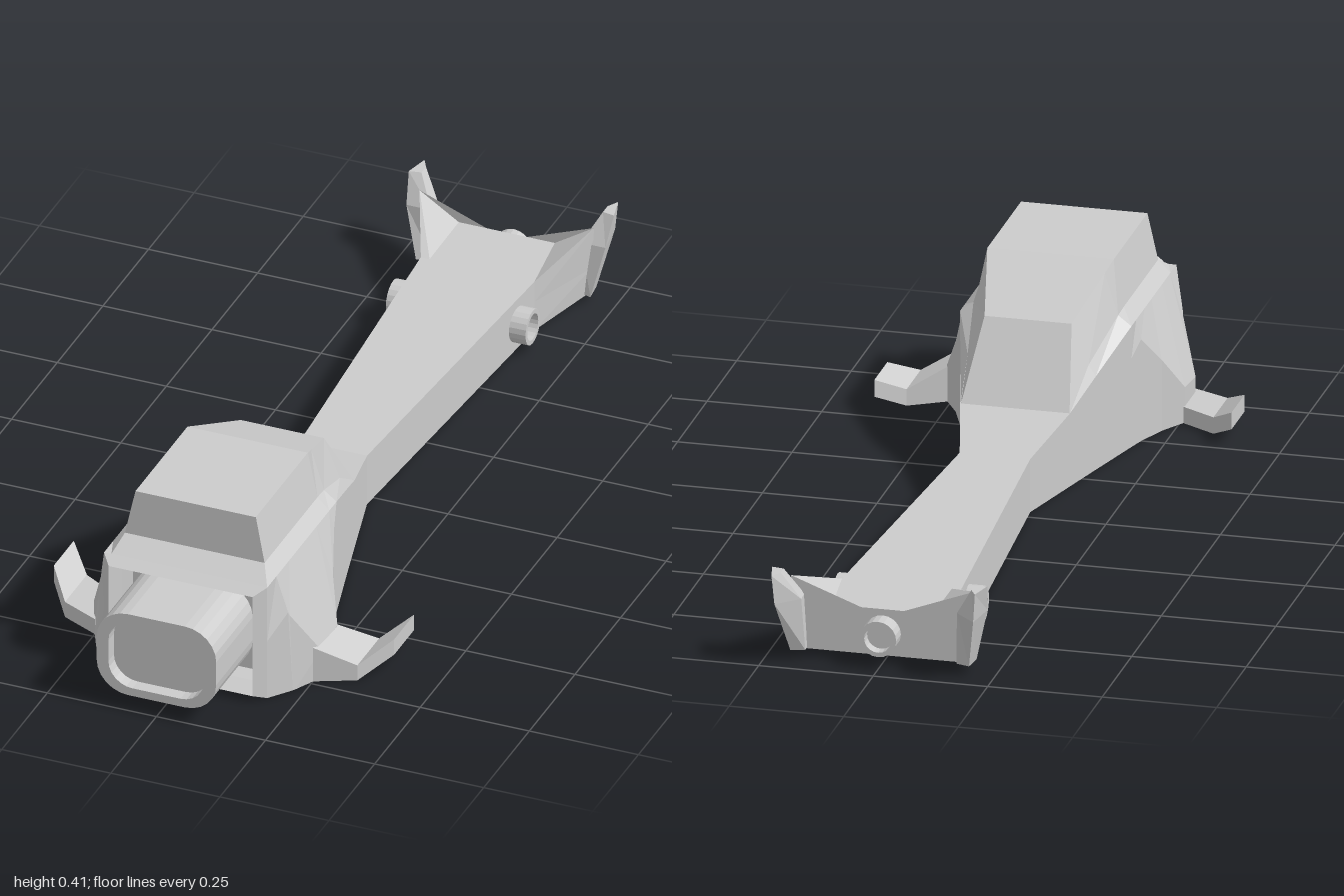
import * as THREE from 'three';

const material = new THREE.MeshStandardMaterial({ color: 0xcccccc, flatShading: true, roughness: 0.8 });

// Skin between rings of [x, y, z]; each ring runs counter-clockwise seen from before the first ring
function loft(name, rings, capStart = true, capEnd = true) {
  const pos = [];
  const tri = (a, b, c) => pos.push(...a, ...b, ...c);
  const n = rings[0].length;
  for (let i = 0; i < rings.length - 1; i++) {
    for (let j = 0; j < n; j++) {
      const k = (j + 1) % n;
      const a = rings[i][j], b = rings[i][k], c = rings[i + 1][k], d = rings[i + 1][j];
      tri(a, d, c);
      tri(a, c, b);
    }
  }
  const cap = (ring, flip) => {
    const mid = [0, 1, 2].map(q => ring.reduce((s, p) => s + p[q], 0) / n);
    for (let j = 0; j < n; j++) {
      const k = (j + 1) % n;
      if (flip) tri(mid, ring[k], ring[j]);
      else tri(mid, ring[j], ring[k]);
    }
  };
  if (capStart) cap(rings[0], false);
  if (capEnd) cap(rings[rings.length - 1], true);
  const geo = new THREE.BufferGeometry();
  geo.setAttribute('position', new THREE.Float32BufferAttribute(pos, 3));
  geo.computeVertexNormals();
  const mesh = new THREE.Mesh(geo, material);
  mesh.name = name;
  return mesh;
}

// Mirror rings across x and restore their winding
const mirror = rings => rings.map(r => r.map(([x, y, z]) => [-x, y, z]).reverse());

// Rounded rectangle ring, centred on x = 0
function roundedRing(w, y0, y1, r, z, steps = 6) {
  const ring = [];
  const corners = [[w - r, y0 + r, -1], [w - r, y1 - r, 0], [r - w, y1 - r, 1], [r - w, y0 + r, 2]];
  for (const [cx, cy, q] of corners) {
    for (let i = 0; i <= steps; i++) {
      const a = (q + i / steps) * Math.PI / 2;
      ring.push([cx + r * Math.cos(a), cy + r * Math.sin(a), z]);
    }
  }
  return ring;
}

const rectRing = (w, y0, y1, z) => [[w, y0, z], [w, y1, z], [-w, y1, z], [-w, y0, z]];

function makeHull() {
  // z, then right-half points: bottom, lower side, shoulder, cabin base, cabin roof
  const sections = [
    [0.84, [0.187, 0], [0.187, 0.14], [0.187, 0.273], [0.17, 0.273], [0.17, 0.273]],
    [0.79, [0.225, 0], [0.214, 0.19], [0.187, 0.273], [0.16, 0.3], [0.16, 0.3]],
    [0.785, [0.228, 0], [0.216, 0.18], [0.187, 0.273], [0.16, 0.3], [0.138, 0.405]],
    [0.72, [0.26, 0], [0.26, 0.07], [0.187, 0.273], [0.16, 0.3], [0.138, 0.405]],
    [0.63, [0.26, 0], [0.26, 0.08], [0.187, 0.273], [0.16, 0.3], [0.138, 0.405]],
    [0.57, [0.225, 0], [0.225, 0.16], [0.187, 0.273], [0.16, 0.3], [0.138, 0.405]],
    [0.5, [0.198, 0], [0.198, 0.23], [0.187, 0.273], [0.16, 0.3], [0.138, 0.405]],
    [0.46, [0.187, 0], [0.187, 0.2], [0.187, 0.273], [0.158, 0.295], [0.129, 0.388]],
    [0.31, [0.148, 0], [0.148, 0.14], [0.148, 0.211], [0.132, 0.235], [0.095, 0.325]],
    [0.2, [0.12, 0], [0.12, 0.1], [0.12, 0.165], [0.119, 0.165], [0.118, 0.165]],
    [0.03, [0.077, 0], [0.077, 0.07], [0.077, 0.12], [0.076, 0.12], [0.07, 0.12]],
    [-0.76, [0.13, 0], [0.13, 0.07], [0.13, 0.12], [0.11, 0.12], [0.1, 0.12]],
    [-0.92, [0.19, 0.018], [0.195, 0.08], [0.2, 0.18], [0.11, 0.122], [0.1, 0.122]],
  ];
  const rings = sections.map(([z, ...half]) => [
    ...half.map(([x, y]) => [x, y, z]),
    ...half.slice().reverse().map(([x, y]) => [-x, y, z]),
  ]);
  return loft('hull', rings, false, true);
}

// Swept side fin; the height of its root differs from side to side
const finRings = rootTop => [
  [0.25, 0, rootTop, 0.63, 0.74],
  [0.335, 0, 0.037, 0.58, 0.7],
  [0.39, 0.037, 0.075, 0.52, 0.63],
].map(([x, y0, y1, z0, z1]) => [[x, y0, z0], [x, y0, z1], [x, y1, z1], [x, y1, z0]]);

// Upswept prong at the tail corner
const prongRings = [
  [0.02, [0.2, -0.9], [0.165, -0.91], [0.165, -0.935], [0.195, -0.945]],
  [0.14, [0.228, -0.915], [0.172, -0.915], [0.17, -0.95], [0.217, -0.995]],
  [0.205, [0.235, -0.945], [0.208, -0.95], [0.208, -0.975], [0.222, -1]],
].map(([y, ...pts]) => pts.map(([x, z]) => [x, y, z]));

// Short hollow round port along +y
function makePort(name) {
  const profile = [[0.04, 0], [0.04, 0.05], [0.03, 0.05], [0.03, 0.025], [0, 0.025]];
  const geo = new THREE.LatheGeometry(profile.map(p => new THREE.Vector2(...p)), 20);
  const mesh = new THREE.Mesh(geo, material);
  mesh.name = name;
  return mesh;
}

export function createModel() {
  const model = new THREE.Group();
  model.name = 'craft';
  model.add(makeHull());

  // Bevelled front frame with a stepped recess
  model.add(loft('frontFrame', [
    rectRing(0.137, 0.038, 0.24, 0.8),
    rectRing(0.15, 0.03, 0.246, 0.83),
    rectRing(0.165, 0.015, 0.26, 0.868),
    rectRing(0.187, 0, 0.273, 0.84),
  ], true, false));

  // Protruding rounded nozzle with a shallow hollow
  model.add(loft('frontNozzle', [
    roundedRing(0.11, 0.057, 0.218, 0.055, 0.97),
    roundedRing(0.11, 0.057, 0.218, 0.055, 1),
    roundedRing(0.137, 0.038, 0.238, 0.072, 1),
    roundedRing(0.137, 0.038, 0.238, 0.072, 0.8),
  ], true, false));

  model.add(loft('leftFin', finRings(0.083)), loft('rightFin', mirror(finRings(0.037))));
  model.add(loft('leftTailProng', prongRings), loft('rightTailProng', mirror(prongRings)));

  // Ports on both sides and at the rear
  for (const side of [1, -1]) {
    const port = makePort(side > 0 ? 'leftPort' : 'rightPort');
    port.position.set(side * 0.11, 0.06, -0.68);
    port.rotation.z = -side * Math.PI / 2;
    model.add(port);
  }
  const rearPort = makePort('rearPort');
  rearPort.position.set(0, 0.068, -0.91);
  rearPort.rotation.x = -Math.PI / 2;
  model.add(rearPort);
  return model;
}
